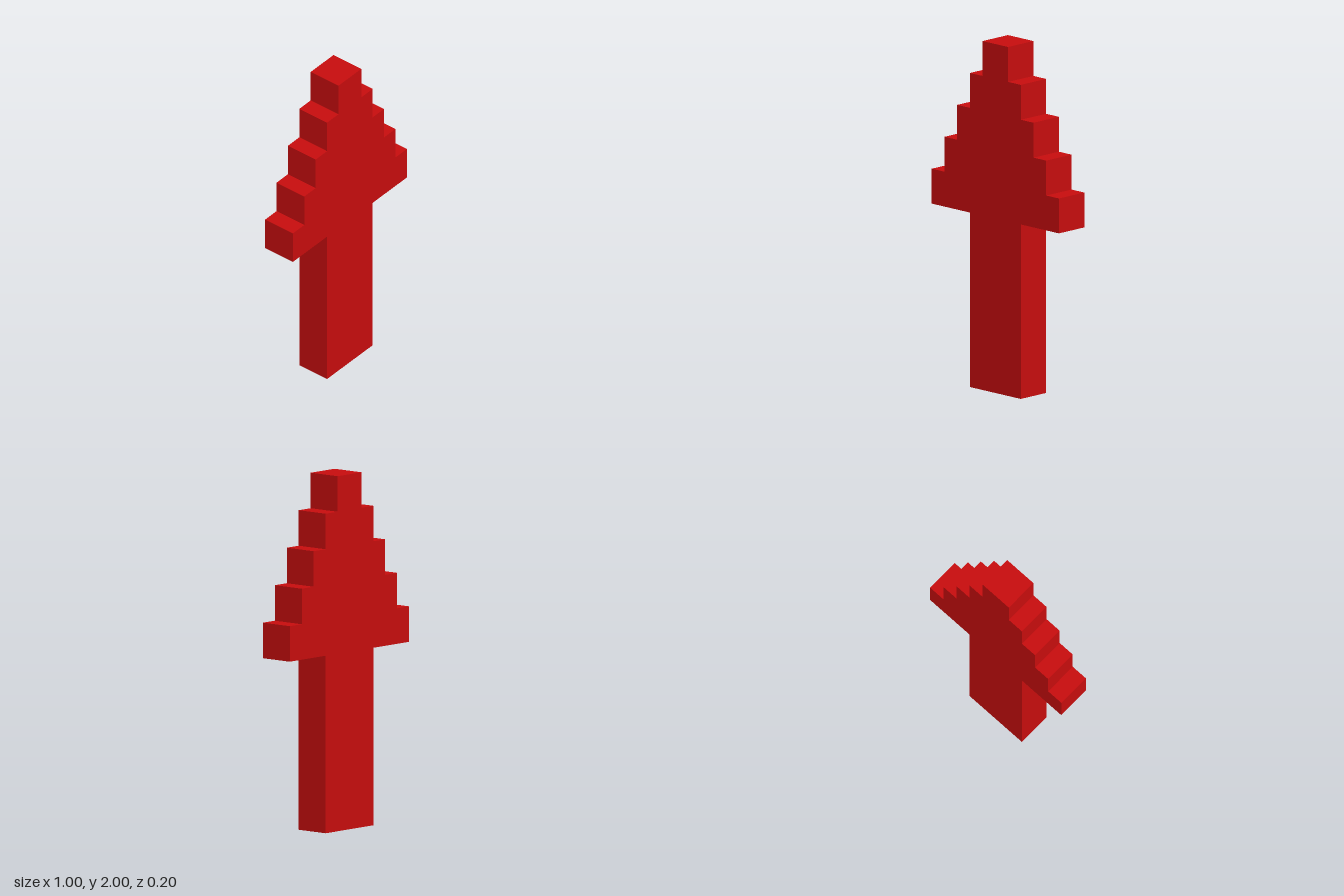
import * as THREE from 'three';

export function createModel() {
  const group = new THREE.Group();
  group.name = 'steppedArrow';
  const red = new THREE.MeshStandardMaterial({ color: 0xca0d0e });
  red.name = 'red';

  // Right half of the outline: straight shaft, then five steps up to the tip
  const depth = 0.2, step = 0.2, shaftHalf = 0.2, headBase = 1;
  const half = [[shaftHalf, 0], [shaftHalf, headBase]];
  for (let i = 0; i < 5; i++) {
    const x = 0.5 - i * 0.1, y = headBase + i * step;
    half.push([x, y], [x, y + step]);
  }

  // Mirror the half to close the outline
  const mirrored = half.map(([x, y]) => [-x, y]).reverse();
  const outline = [...half, ...mirrored].map(([x, y]) => new THREE.Vector2(x, y));

  const geometry = new THREE.ExtrudeGeometry(new THREE.Shape(outline), { depth, bevelEnabled: false });
  geometry.translate(0, 0, -depth / 2);
  const arrow = new THREE.Mesh(geometry, red);
  arrow.name = 'arrowBody';
  group.add(arrow);
  return group;
}
